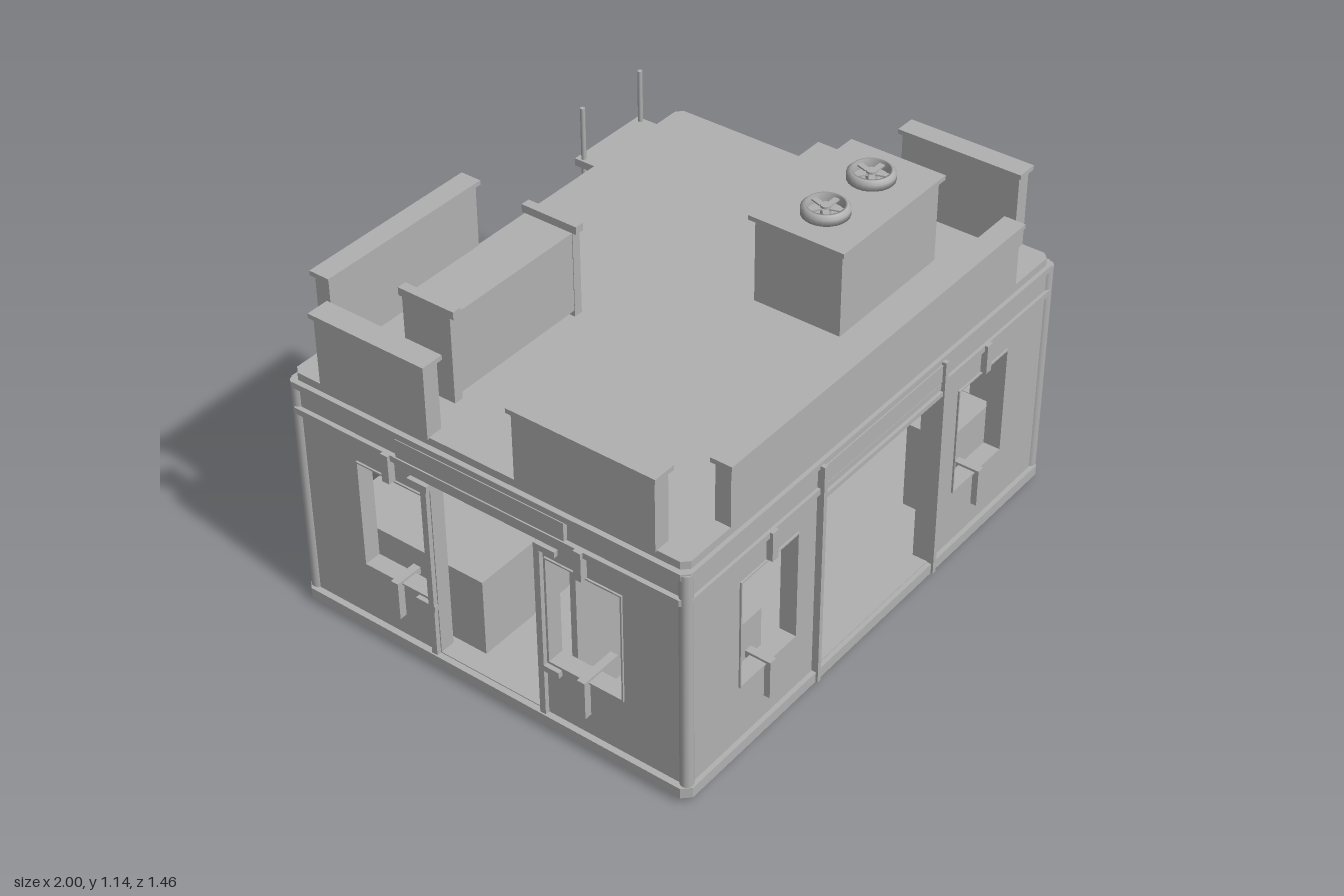
import * as THREE from 'three';

export function createModel() {
  const model = new THREE.Group();
  const concrete = new THREE.MeshStandardMaterial({ color: 0xb0b0b0 });
  concrete.name = 'plain grey';

  const add = (name, geo, parent = model) => {
    const m = new THREE.Mesh(geo, concrete);
    m.name = name;
    parent.add(m);
    return m;
  };
  // box given by its limits on each axis
  const box = (name, x0, x1, y0, y1, z0, z1, parent) => {
    const m = add(name, new THREE.BoxGeometry(x1 - x0, y1 - y0, z1 - z0), parent);
    m.position.set((x0 + x1) / 2, (y0 + y1) / 2, (z0 + z1) / 2);
    return m;
  };
  const rect = (P, u0, u1, v0, v1) => {
    const p = new P();
    p.moveTo(u0, v0); p.lineTo(u1, v0); p.lineTo(u1, v1); p.lineTo(u0, v1); p.closePath();
    return p;
  };
  // plate in the u-y plane with rectangular openings
  const plate = (outer, holes, t) => {
    const s = rect(THREE.Shape, ...outer);
    holes.forEach(h => s.holes.push(rect(THREE.Path, ...h)));
    return new THREE.ExtrudeGeometry(s, { depth: t, bevelEnabled: false });
  };
  // plate across the x axis, running along z
  const sidePlate = (outer, holes, t) => plate(outer, holes, t).rotateY(-Math.PI / 2);
  // horizontal slab with cut corners
  const slab = (name, x0, x1, y0, y1, z0, z1, cut, wall = 0) => {
    const P = (Type, d) => {
      const p = new Type(), a = x0 + d, b = x1 - d, c = -z1 + d, e = -z0 - d;
      p.moveTo(a + cut, c); p.lineTo(b - cut, c); p.lineTo(b, c + cut); p.lineTo(b, e - cut);
      p.lineTo(b - cut, e); p.lineTo(a + cut, e); p.lineTo(a, e - cut); p.lineTo(a, c + cut);
      p.closePath();
      return p;
    };
    const s = P(THREE.Shape, 0);
    if (wall) s.holes.push(P(THREE.Path, wall));
    const g = new THREE.ExtrudeGeometry(s, { depth: y1 - y0, bevelEnabled: false });
    g.rotateX(-Math.PI / 2);
    add(name, g).position.y = y0;
  };

  // floor, bands and roof
  slab('foundation', -0.955, 0.765, 0, 0.02, -0.64, 0.695, 0.02);
  slab('floor', -0.965, 0.78, 0.02, 0.058, -0.66, 0.705, 0.02);
  slab('baseBand', -0.99, 0.795, 0.02, 0.055, -0.675, 0.72, 0.025, 0.045);
  slab('upperBand', -0.985, 0.79, 0.69, 0.71, -0.67, 0.715, 0.025, 0.04);
  slab('cornice', -0.982, 0.787, 0.775, 0.795, -0.668, 0.713, 0.02, 0.04);
  slab('roof', -0.965, 0.775, 0.785, 0.82, -0.66, 0.70, 0.02);

  // outer walls
  const win = c => [c - 0.125, c + 0.125, 0.25, 0.61];
  const xWins = [-0.615, 0.425], zWins = [0.365, -0.305];
  const xHoles = [...xWins.map(win), [-0.385, 0.185, 0.058, 0.66]];
  const zHoles = [...zWins.map(win), [-0.165, 0.205, 0.058, 0.66]];
  add('frontWall', plate([-0.97, 0.78, 0.03, 0.79], xHoles, 0.05)).position.z = 0.655;
  add('backWall', plate([-0.97, 0.78, 0.03, 0.79], xHoles, 0.05)).position.z = -0.665;
  add('rightWall', sidePlate([-0.65, 0.69, 0.03, 0.79], zHoles, 0.05)).position.x = 0.78;
  add('leftWall', sidePlate([-0.65, 0.69, 0.03, 0.79], zHoles, 0.05)).position.x = -0.92;

  // corner posts
  for (const x of [-0.96, 0.77]) for (const z of [-0.65, 0.695]) {
    add('cornerPost', new THREE.CylinderGeometry(0.02, 0.02, 0.74, 12)).position.set(x, 0.42, z);
  }

  // window frames, with short stems below and above
  const ring = c => [[c - 0.13, c + 0.13, 0.245, 0.615], [win(c)]];
  const stems = [[0.13, 0.245], [0.615, 0.71]];
  for (const c of xWins) {
    for (const [z, edge] of [[0.703, 0.725], [-0.671, -0.68]]) {
      add('windowFrame', plate(...ring(c), 0.008)).position.z = z;
      for (const [a, b] of stems) {
        box('windowStem', c - 0.013, c + 0.013, a, b, Math.min(z, edge), Math.max(z, edge));
      }
    }
    box('windowShelf', c - 0.013, c + 0.013, 0.235, 0.258, 0.60, 0.725);
    box('windowShelf', c - 0.013, c + 0.013, 0.235, 0.258, -0.68, -0.56);
  }
  for (const c of zWins) {
    for (const [x, a0, a1] of [[0.786, 0.78, 0.797], [-0.968, -0.995, -0.97]]) {
      add('windowFrame', sidePlate(...ring(c), 0.008)).position.x = x;
      for (const [a, b] of stems) box('windowStem', a0, a1, a, b, c - 0.013, c + 0.013);
    }
    box('windowShelf', 0.66, 0.797, 0.235, 0.258, c - 0.013, c + 0.013);
    box('windowShelf', -0.995, -0.85, 0.235, 0.258, c - 0.013, c + 0.013);
  }

  // door trims and header panels
  for (const [z0, z1] of [[0.70, 0.727], [-0.682, -0.66]]) {
    for (const x of [-0.40, 0.185]) box('doorTrim', x, x + 0.015, 0.02, 0.785, z0, z1);
    box('doorHeader', -0.39, 0.19, 0.67, 0.685, z0 + 0.005, z1 - 0.005);
    box('headerPanel', -0.385, 0.185, 0.715, 0.775, z0 + 0.005, z1 - 0.01);
  }
  for (const [x0, x1] of [[0.77, 0.79], [-0.985, -0.96]]) {
    box('headerPanel', x0, x1, 0.715, 0.775, -0.27, 0.315);
    for (const z of [0.208, -0.188]) {
      box('doorTrim', x0, x1, 0.055, 0.66, z, z + 0.02);
    }
    for (const z of [0.21, -0.235]) for (const y of [0.215, 0.64]) {
      box('trimCap', x0, x1, y, y + 0.02, z, z + 0.07);
    }
  }

  // inner walls
  add('longPartition', plate([-0.92, 0.73, 0.058, 0.785],
    [[-0.13, -0.062, 0.06, 0.66]], 0.02)).position.z = 0.275;
  add('crossPartition', sidePlate([-0.62, 0.28, 0.058, 0.785],
    [[-0.16, 0.07, 0.06, 0.54]], 0.015)).position.x = -0.13;

  // furniture
  box('cabinet', -0.9, -0.555, 0.058, 0.36, 0.46, 0.64);
  box('cabinet', 0.365, 0.6, 0.058, 0.36, 0.50, 0.64);
  box('bench', -0.9, -0.45, 0.058, 0.32, -0.6, -0.06);
  box('bench', 0.3, 0.7, 0.058, 0.39, -0.6, -0.31);

  // parapets: body, base and overhanging cap
  const parapet = (x0, x1, z0, z1, top) => {
    const g = new THREE.Group();
    g.name = 'parapet';
    model.add(g);
    box('parapetBody', x0 + 0.01, x1 - 0.01, 0.815, top - 0.015, z0 + 0.01, z1 - 0.01, g);
    box('parapetCap', x0, x1, top - 0.015, top, z0, z1, g);
  };
  parapet(-0.79, 0.595, 0.64, 0.71, 1.025);
  parapet(0.715, 0.785, 0.195, 0.615, 1.09);
  parapet(-0.98, -0.905, -0.56, -0.15, 1.06);
  parapet(-0.98, -0.905, 0.13, 0.615, 1.06);
  parapet(-0.86, -0.235, -0.665, -0.595, 1.09);

  // rooftop fan unit
  box('fanUnitBody', 0.07, 0.55, 0.815, 1.095, 0.15, 0.445);
  box('fanUnitTop', 0.055, 0.56, 1.095, 1.11, 0.135, 0.46);
  for (const x of [0.195, 0.42]) {
    const fan = new THREE.Group();
    fan.name = 'fan';
    fan.position.set(x, 1.11, 0.3);
    model.add(fan);
    const wall = [[0.055, 0], [0.072, 0], [0.072, 0.02], [0.062, 0.03], [0.055, 0.03], [0.055, 0]];
    add('fanRim', new THREE.LatheGeometry(wall.map(p => new THREE.Vector2(...p)), 24), fan);
    add('fanHub', new THREE.CylinderGeometry(0.016, 0.016, 0.028, 12), fan).position.y = 0.014;
    for (let i = 0; i < 5; i++) {
      const blade = add('fanBlade', new THREE.BoxGeometry(0.045, 0.005, 0.018).translate(0.034, 0.018, 0), fan);
      blade.rotation.y = i * Math.PI * 0.4;
    }
  }

  // long rooftop unit with raised ends
  box('longUnitBody', -0.79, -0.29, 0.84, 1.1, -0.37, -0.205);
  for (const x of [-0.81, -0.30]) {
    box('longUnitEnd', x, x + 0.03, 0.815, 1.105, -0.372, -0.203);
    box('longUnitEndCap', x, x + 0.03, 1.1, 1.125, -0.385, -0.19);
  }

  // canopy on posts
  box('canopy', 0.775, 1.0, 0.70, 0.73, -0.28, 0.33);
  for (const z of [0.3, -0.275]) box('canopyPost', 0.935, 0.965, 0.02, 0.70, z, z + 0.026);

  // bracket beside the side door
  box('bracketArm', 0.78, 0.86, 0.205, 0.24, 0.365, 0.4);
  box('bracketPlate', 0.855, 0.861, 0.205, 0.4, 0.365, 0.4);

  // ladder and its landing
  box('ladderLanding', 0.35, 0.66, 0.795, 0.82, -0.735, -0.64);
  for (const x of [0.365, 0.645]) {
    add('ladderRail', new THREE.CylinderGeometry(0.008, 0.008, 0.98, 8)).position.set(x, 0.51, -0.712);
  }
  for (let i = 0; i < 10; i++) {
    box('ladderRung', 0.365, 0.645, 0.09 + i * 0.07, 0.102 + i * 0.07, -0.718, -0.706);
  }
  return model;
}
